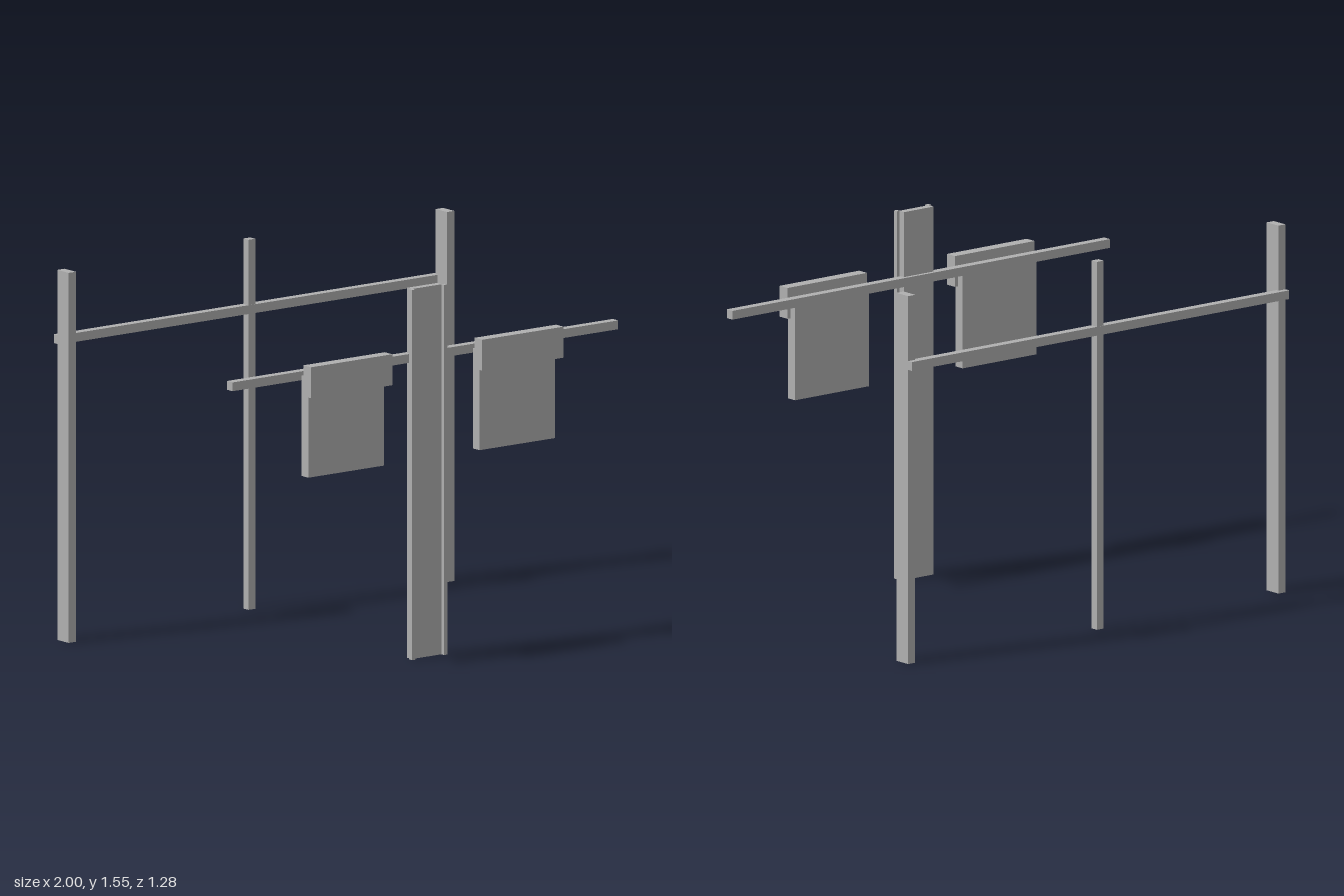
import * as THREE from 'three';

export function createModel() {
  const model = new THREE.Group();
  const grey = new THREE.MeshStandardMaterial({ color: 0xb0b0b0 });
  grey.name = 'grey';

  // Box given by its limits on each axis
  function bar(name, [x0, x1], [y0, y1], [z0, z1], parent = model) {
    const mesh = new THREE.Mesh(new THREE.BoxGeometry(x1 - x0, y1 - y0, z1 - z0), grey);
    mesh.position.set((x0 + x1) / 2, (y0 + y1) / 2, (z0 + z1) / 2);
    mesh.name = name;
    parent.add(mesh);
    return mesh;
  }

  const full = [0, 1.553];
  const railY = [1.242, 1.279];

  // Rear frame: two deep side posts, a slim middle post and a rail
  bar('rearLeftPost', [0.962, 1], full, [-0.617, -0.541]);
  bar('rearRightPost', [-1, -0.962], full, [-0.617, -0.541]);
  bar('rearMiddlePost', [-0.018, 0.018], full, [-0.64, -0.606]);
  bar('rearRail', [-1, 1], railY, [-0.641, -0.604]);

  // Front column: flat board with a narrow strip along each edge
  const column = new THREE.Group();
  column.name = 'frontColumn';
  model.add(column);
  bar('columnBoard', [-0.078, 0.078], full, [0.539, 0.571], column);
  bar('columnLeftStrip', [0.075, 0.091], full, [0.569, 0.589], column);
  bar('columnRightStrip', [-0.091, -0.075], full, [0.569, 0.589], column);

  // Front rail
  bar('frontRail', [-1, 1], railY, [0.523, 0.56]);

  // Hanging panels, each with a header board in front
  for (const [side, x, dx] of [['left', 0.444, -0.002], ['right', -0.444, -0.002]]) {
    const hanging = new THREE.Group();
    hanging.name = side + 'HangingPanel';
    model.add(hanging);
    bar(side + 'Panel', [x + dx - 0.196, x + dx + 0.196], [0.84, 1.261], [0.56, 0.605], hanging);
    bar(side + 'Header', [x - 0.211, x + 0.211], [1.181, 1.311], [0.589, 0.64], hanging);
  }
  return model;
}
